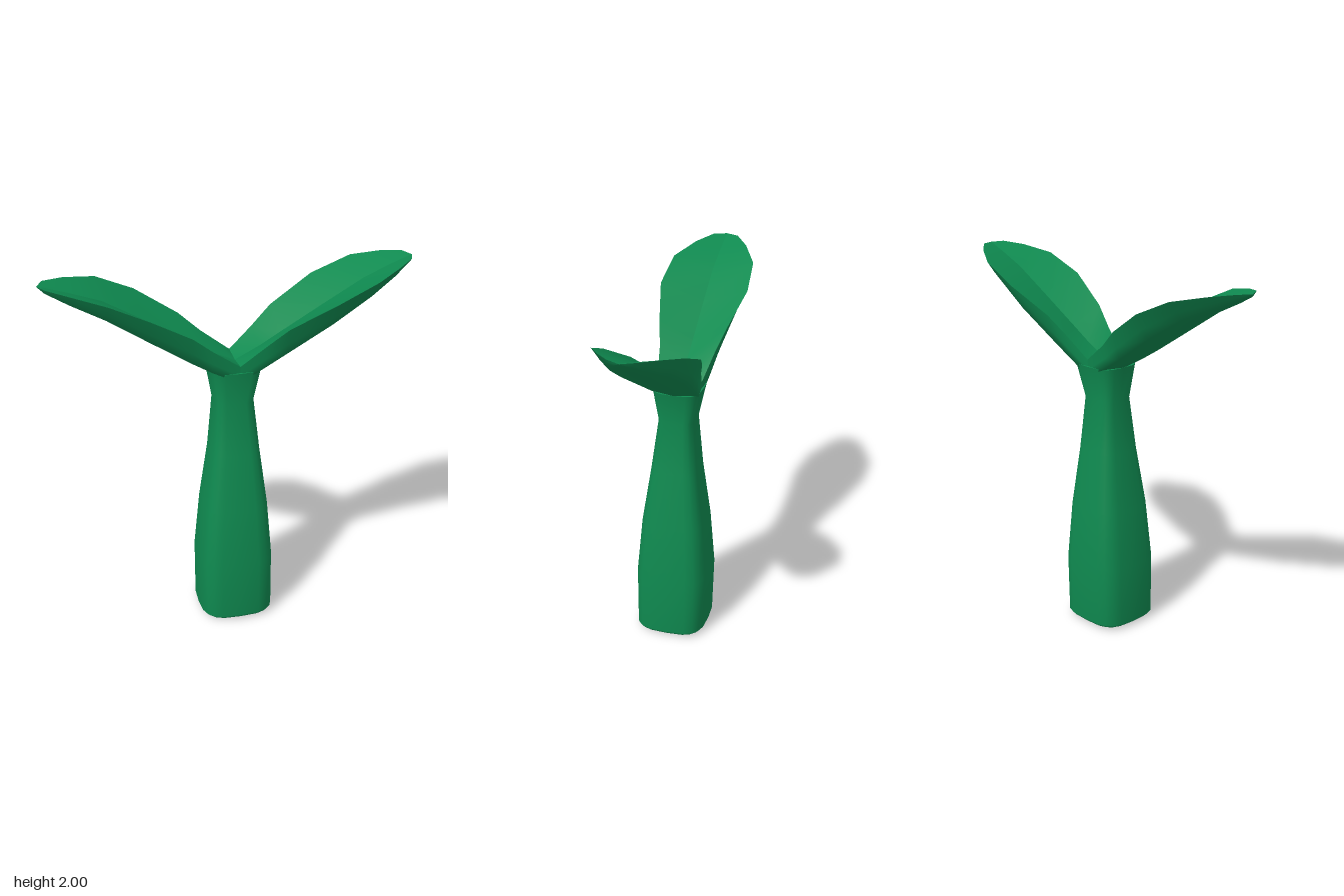
import * as THREE from 'three';

// Skin rows of [x, y, z] points; faces point along (row direction) x (column direction)
function loft(rows, closed = false) {
  const n = rows[0].length, index = [];
  for (let i = 0; i < rows.length - 1; i++) {
    for (let j = 0; j < (closed ? n : n - 1); j++) {
      const k = (j + 1) % n;
      const a = i * n + j, b = i * n + k, c = b + n, d = a + n;
      index.push(a, d, b, b, d, c);
    }
  }
  const geo = new THREE.BufferGeometry();
  geo.setAttribute('position', new THREE.Float32BufferAttribute(rows.flat(2), 3));
  geo.setIndex(index);
  geo.computeVertexNormals();
  return geo;
}

// Rounded-square ring filling the given bounds
function ring([y, x0, x1, z0, z1]) {
  const soft = v => Math.sign(v) * Math.abs(v) ** 0.58;
  return Array.from({ length: 20 }, (_, i) => {
    const t = i / 20 * Math.PI * 2;
    return [
      (x0 + x1) / 2 + (x1 - x0) / 2 * soft(Math.cos(t)), y,
      (z0 + z1) / 2 + (z1 - z0) / 2 * soft(Math.sin(t))];
  });
}

// Stem sections: y, min x, max x, min z, max z
const STEM = [
  [0.01, -0.18, 0.19, -0.15, 0.21],
  [0.03, -0.2, 0.205, -0.168, 0.225],
  [0.36, -0.2, 0.205, -0.178, 0.225],
  [0.68, -0.17, 0.18, -0.155, 0.195],
  [1.0, -0.125, 0.14, -0.115, 0.145],
  [1.29, -0.1, 0.11, -0.09, 0.105],
  [1.475, -0.13, 0.15, -0.13, 0.13],
];

// Leaf sections: left x, right x, half width, rim y, fold y, keel y, keel fullness
const LEAF = [
  [0.02, 0.02, 0.12, 1.51, 1.5, 1.4, 0.95],
  [0.15, -0.13, 0.15, 1.62, 1.565, 1.475, 0.85],
  [0.26, -0.24, 0.185, 1.715, 1.63, 1.54, 0.75],
  [0.5, -0.46, 0.242, 1.85, 1.77, 1.69, 0.65],
  [0.71, -0.66, 0.225, 1.94, 1.89, 1.82, 0.6],
  [0.85, -0.83, 0.145, 1.978, 1.95, 1.905, 0.6],
  [0.94, -0.94, 0.07, 1.995, 1.985, 1.965, 0.6],
  [0.97, -0.975, 0, 1.993, 1.993, 1.993, 0.6],
];

export function createModel() {
  const group = new THREE.Group();
  const green = new THREE.MeshStandardMaterial({ color: 0x0f8a50 });
  green.name = 'leafGreen';
  const add = (parent, name, geo) => {
    const mesh = new THREE.Mesh(geo, green);
    mesh.name = name;
    parent.add(mesh);
  };

  // Stem with flat ends
  const rings = STEM.map(ring);
  const first = rings[0], last = rings[rings.length - 1];
  add(group, 'stem', loft(rings, true));
  add(group, 'stemBase', loft([first.map(() => [0, 0, 0.03]), first], true));
  add(group, 'stemTop', loft([last, last.map(() => [0.01, 1.475, 0])], true));

  // Two folded leaves: rounded underside and two upper halves meeting at the fold
  for (const side of [1, -1]) {
    const leaf = new THREE.Group();
    leaf.name = side > 0 ? 'leftLeaf' : 'rightLeaf';
    const section = pick => LEAF.map(([xl, xr, w, rim, fold, keel, full]) =>
      pick(w, rim, fold, keel, full).map(([z, y]) => [side > 0 ? xl : xr, y, z * side]));

    add(leaf, 'leafUnderside', loft(section((w, rim, fold, keel, f) => {
      const half = [[w, rim], [w * (0.5 + f / 2), keel + (rim - keel) * 0.5],
        [w * f, keel + (rim - keel) * 0.14]];
      return [...half.map(([z, y]) => [-z, y]), [0, keel], ...half.reverse()];
    })));
    add(leaf, 'leafUpperHalf', loft(section((w, rim, fold) => [[w, rim], [0, fold]])));
    add(leaf, 'leafUpperHalf', loft(section((w, rim, fold) => [[0, fold], [-w, rim]])));
    group.add(leaf);
  }
  return group;
}
